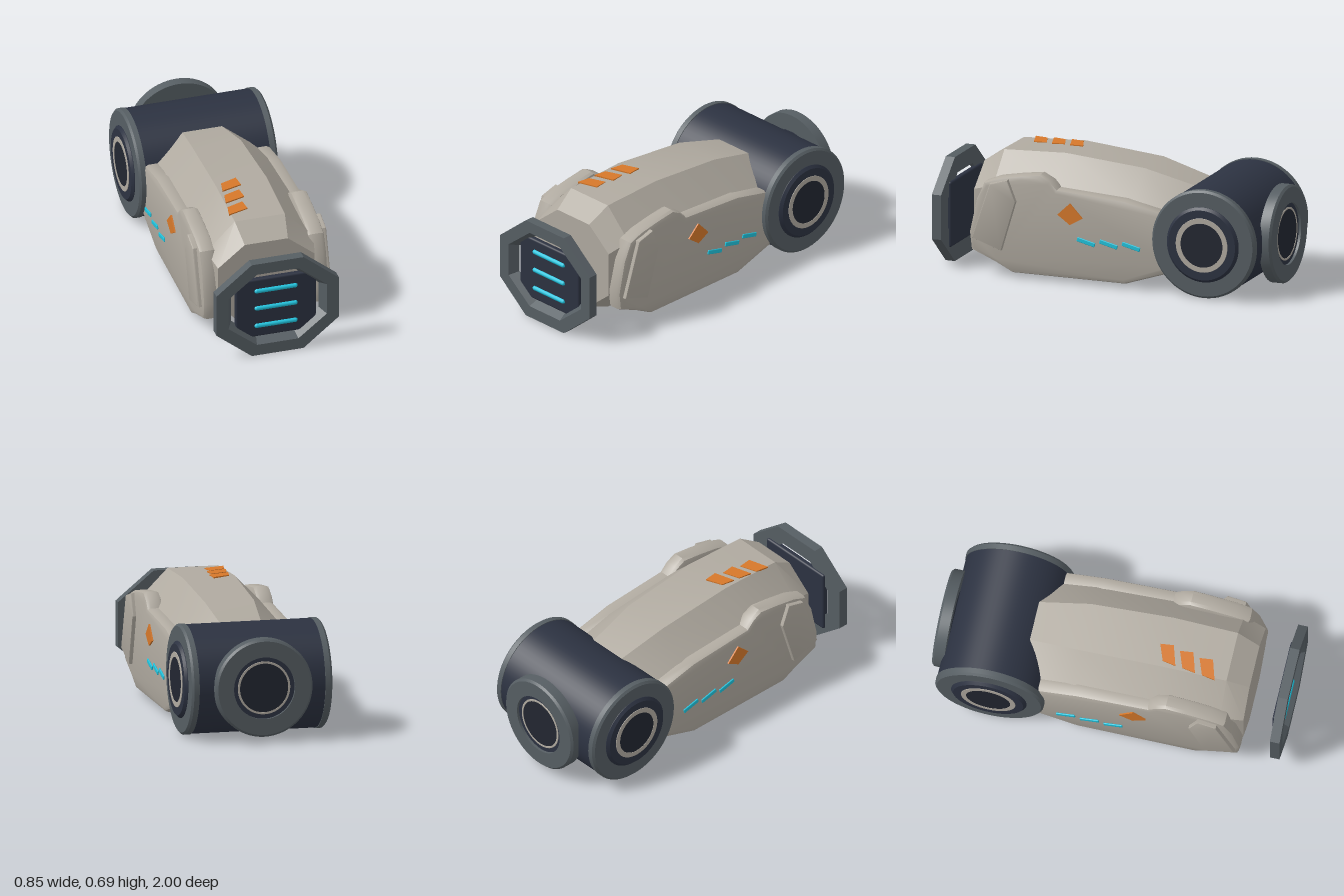
import * as THREE from 'three';
import { toCreasedNormals } from 'three/addons/utils/BufferGeometryUtils.js';
import { RoundedBoxGeometry } from 'three/addons/geometries/RoundedBoxGeometry.js';

const paint = (name, color) => {
  const m = new THREE.MeshStandardMaterial({ color });
  m.name = name;
  return m;
};

// Eight-cornered section, counter-clockwise seen from +z
function octagon(z, hx, bottom, top, cx, cy) {
  const c = (top + bottom) / 2, hy = (top - bottom) / 2;
  return [[hx, cy], [cx, hy], [-cx, hy], [-hx, cy], [-hx, -cy], [-cx, -hy], [cx, -hy], [hx, -cy]]
    .map(([x, y]) => new THREE.Vector3(x, c + y, z));
}

// Skin over a list of sections, optionally closed at the ends
function loft(rings, caps, crease = 0.35) {
  const n = rings[0].length, pos = [];
  const tri = (...pts) => pts.forEach((p) => pos.push(p.x, p.y, p.z));
  for (let i = 0; i < rings.length - 1; i++) {
    for (let k = 0; k < n; k++) {
      const j = (k + 1) % n, a = rings[i], b = rings[i + 1];
      tri(a[k], a[j], b[j]);
      tri(a[k], b[j], b[k]);
    }
  }
  if (caps) {
    const middle = (r) => r.reduce((s, p) => s.add(p), new THREE.Vector3()).divideScalar(n);
    const first = rings[0], last = rings[rings.length - 1];
    for (let k = 0; k < n; k++) {
      const j = (k + 1) % n;
      tri(middle(first), first[j], first[k]);
      tri(middle(last), last[k], last[j]);
    }
  }
  const g = new THREE.BufferGeometry();
  g.setAttribute('position', new THREE.Float32BufferAttribute(pos, 3));
  return toCreasedNormals(g, crease);
}

// Plate outlined in (z, y), centred on x with the given thickness
function slab(points, thickness, bevel) {
  const shape = new THREE.Shape(points.map(([z, y]) => new THREE.Vector2(z, y)));
  const depth = thickness - 2 * bevel;
  const g = new THREE.ExtrudeGeometry(shape, {
    depth, bevelEnabled: bevel > 0, bevelThickness: bevel, bevelSize: bevel,
    bevelOffset: -bevel, bevelSegments: 2,
  });
  g.translate(0, 0, -depth / 2).rotateY(-Math.PI / 2);
  return toCreasedNormals(g, 0.6);
}

// Turned disc or ring along +y with a bevelled outer edge
function turned(r, h, bevel, inner = 0) {
  const pts = [[inner, 0], [r, 0], [r, h - bevel], [r - bevel, h], [inner, h]];
  if (inner) pts.unshift([inner, h]);
  return toCreasedNormals(new THREE.LatheGeometry(pts.map(([x, y]) => new THREE.Vector2(x, y)), 64), 0.5);
}

export function createModel() {
  const model = new THREE.Group();
  model.name = 'vehicle';
  const shell = paint('warm grey shell', 0xb0aaa0);
  const steel = paint('steel grey', 0x565e63);
  const navy = paint('dark navy', 0x2c3241);
  const dark = paint('near black', 0x222631);
  const cyan = paint('cyan light', 0x20c4de);
  const orange = paint('orange marking', 0xd6782a);

  const add = (name, geometry, material, x = 0, y = 0, z = 0, parent = model) => {
    const mesh = new THREE.Mesh(geometry, material);
    mesh.name = name;
    mesh.position.set(x, y, z);
    parent.add(mesh);
    return mesh;
  };

  // Faceted hull, from tail to nose
  add('hull', loft([
    octagon(-0.6, 0.26, 0.12, 0.53, 0.10, 0.09),
    octagon(-0.47, 0.29, 0.08, 0.574, 0.115, 0.11),
    octagon(-0.19, 0.32, 0.03, 0.649, 0.14, 0.14),
    octagon(0.28, 0.325, 0.03, 0.692, 0.148, 0.15),
    octagon(0.65, 0.31, 0.04, 0.676, 0.145, 0.15),
    octagon(0.777, 0.28, 0.08, 0.595, 0.125, 0.13),
  ], true), shell);

  // Slanted markings on the roof
  const stripe = new THREE.Shape([[-0.058, -0.055], [0.058, -0.02], [0.05, 0.055], [-0.045, 0.02]]
    .map(([x, y]) => new THREE.Vector2(x, y)));
  const stripeGeometry = new THREE.ExtrudeGeometry(stripe, { depth: 0.009, bevelEnabled: false });
  stripeGeometry.rotateX(-Math.PI / 2);
  [[-0.07, 0.688, 0.3], [-0.085, 0.683, 0.415], [-0.1, 0.677, 0.53]].forEach(([x, y, z]) =>
    add('roofMarking', stripeGeometry, orange, x, y, z));

  // Open nose frame with a chamfered inner edge
  const back = octagon(0.945, 0.355, 0.005, 0.602, 0.15, 0.128);
  add('noseFrame', loft([
    back,
    octagon(1.0, 0.355, 0.005, 0.602, 0.15, 0.128),
    octagon(1.0, 0.285, 0.073, 0.534, 0.12, 0.097),
    octagon(0.945, 0.254, 0.103, 0.505, 0.11, 0.081),
    back,
  ], false), steel);

  // Nose panel and its light bars
  add('nosePanel', new RoundedBoxGeometry(0.468, 0.375, 0.035, 3, 0.012), navy, 0, 0.292, 0.949);
  const bar = new THREE.CapsuleGeometry(0.0135, 0.223, 6, 12).rotateZ(Math.PI / 2);
  [0.405, 0.292, 0.178].forEach((y) => add('noseLight', bar, cyan, 0, y, 0.966));

  // Rear drum
  const axleY = 0.317, axleZ = -0.645;
  add('rearDrum', new THREE.CylinderGeometry(0.305, 0.305, 0.74, 64).rotateZ(Math.PI / 2), navy, 0, axleY, axleZ);

  // Side armour, fins, markings and drum ends, on both sides
  const armour = slab([
    [0.777, 0.24], [0.735, 0.43], [0.686, 0.536], [0.6, 0.57], [0.466, 0.595], [0.35, 0.611], [0.29, 0.58],
    [0.247, 0.536], [-0.155, 0.51], [-0.4, 0.456], [-0.47, 0.4], [-0.47, 0.15], [-0.4, 0.11],
    [-0.155, 0.03], [0.52, 0.03], [0.62, 0.08], [0.765, 0.14],
  ], 0.1, 0.025);
  const fin = slab([[0.643, 0.536], [0.536, 0.566], [0.488, 0.445], [0.574, 0.158], [0.75, 0.215]], 0.035, 0.008);
  const diamond = slab([[0.166, 0.466], [0.09, 0.386], [0.166, 0.343], [0.24, 0.396]], 0.009, 0);
  const dash = new RoundedBoxGeometry(0.009, 0.025, 0.11, 2, 0.004);
  for (const side of [1, -1]) {
    const label = side > 0 ? 'left' : 'right';
    add(label + 'Armour', armour, shell, side * 0.315);
    add(label + 'Fin', fin, shell, side * 0.3705);
    add(label + 'Diamond', diamond, orange, side * 0.369);
    [0.06, -0.075, -0.21].forEach((z) => {
      add(label + 'SideLight', dash, cyan, side * 0.393, 0.26, z).rotation.x = -0.24;
    });
    const end = new THREE.Group();
    end.name = label + 'DrumEnd';
    end.position.set(side * 0.36, axleY, axleZ);
    end.rotation.z = -side * Math.PI / 2;
    add('rim', turned(0.309, 0.042, 0.012), steel, 0, 0, 0, end);
    add('hub', turned(0.215, 0.06, 0.015), navy, 0, 0, 0, end);
    add('hubRing', turned(0.155, 0.003, 0.001, 0.126), shell, 0, 0.06, 0, end);
    add('hubCentre', turned(0.126, 0.002, 0.001), dark, 0, 0.06, 0, end);
    model.add(end);
  }

  // Round tail ring
  const tail = new THREE.Group();
  tail.name = 'tailRing';
  tail.position.set(0, axleY, -0.93);
  tail.rotation.x = -Math.PI / 2;
  add('tailRim', turned(0.277, 0.07, 0.012, 0.175), steel, 0, 0, 0, tail);
  add('tailDisc', turned(0.18, 0.055, 0.002), navy, 0, 0, 0, tail);
  add('tailTrim', turned(0.15, 0.003, 0.001, 0.138), shell, 0, 0.055, 0, tail);
  add('tailCentre', turned(0.138, 0.002, 0.001), dark, 0, 0.055, 0, tail);
  model.add(tail);

  return model;
}
